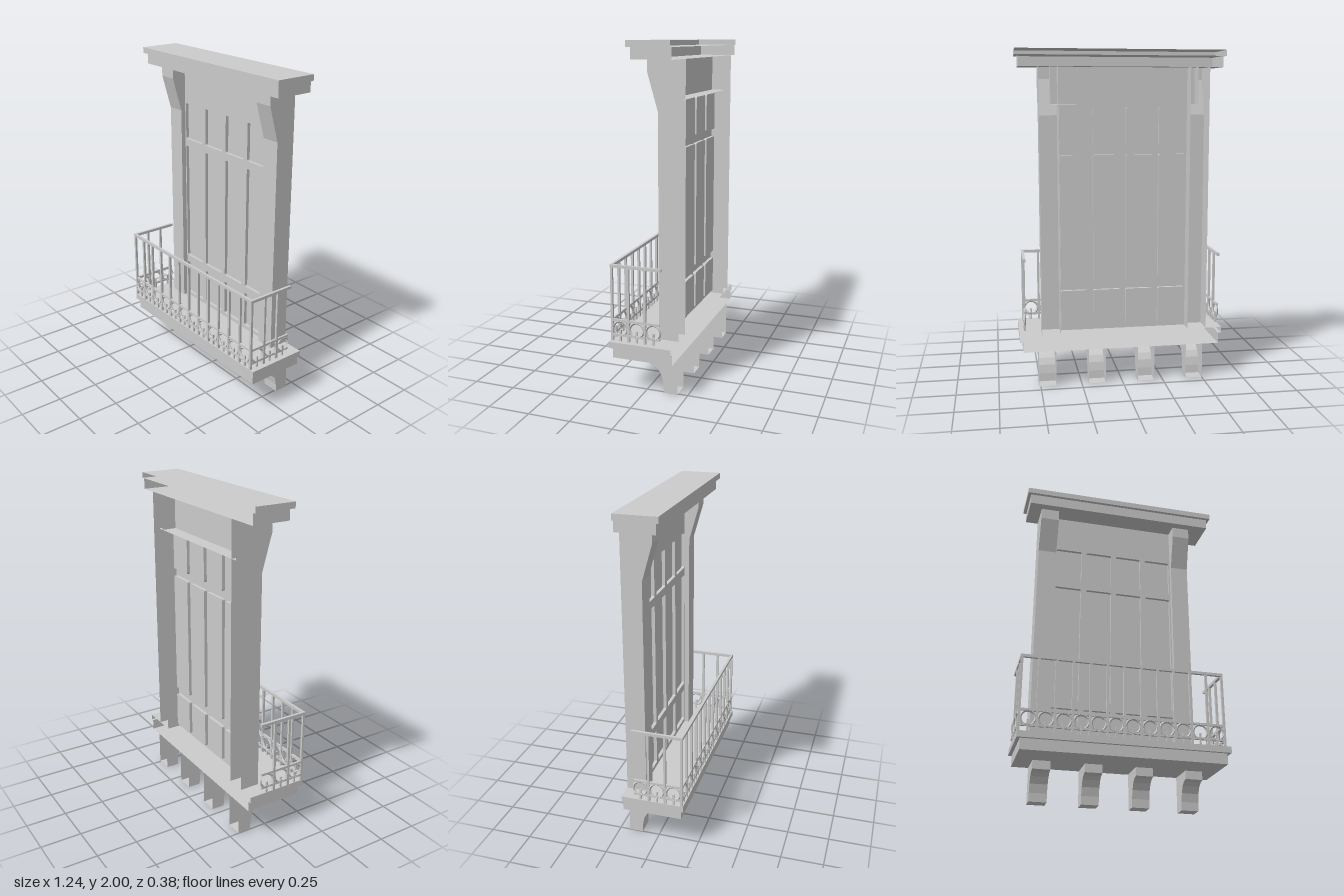
import * as THREE from 'three';

const BACK = -0.19;
const mat = new THREE.MeshStandardMaterial({ color: 0xcccccc, side: THREE.DoubleSide, flatShading: true });

export function createModel() {
  const model = new THREE.Group();

  function add(name, geo, parent = model) {
    const mesh = new THREE.Mesh(geo, mat);
    mesh.name = name;
    parent.add(mesh);
    return mesh;
  }

  // Removes every triangle lying in the plane axis = value, leaving an open shell
  function openAt(geo, axis, value) {
    const g = geo.index ? geo.toNonIndexed() : geo;
    const p = g.attributes.position, kept = [];
    const i0 = 'xyz'.indexOf(axis);
    for (let t = 0; t < p.count; t += 3) {
      const flat = [0, 1, 2].every(k => Math.abs(p.getComponent(t + k, i0) - value) < 1e-4);
      if (!flat) for (let k = 0; k < 3; k++) kept.push(p.getX(t + k), p.getY(t + k), p.getZ(t + k));
    }
    const out = new THREE.BufferGeometry();
    out.setAttribute('position', new THREE.Float32BufferAttribute(kept, 3));
    out.computeVertexNormals();
    return out;
  }

  function box(x0, x1, y0, y1, z0, z1) {
    return new THREE.BoxGeometry(x1 - x0, y1 - y0, z1 - z0)
      .translate((x0 + x1) / 2, (y0 + y1) / 2, (z0 + z1) / 2);
  }
  const shellBox = (x0, x1, y0, y1, front) => openAt(box(x0, x1, y0, y1, BACK, front), 'z', BACK);

  // Side profile of [z, y] points swept from x0 to x1, open towards the wall
  function sweep(points, x0, x1) {
    const shape = new THREE.Shape(points.map(([z, y]) => new THREE.Vector2(z, y)));
    const geo = new THREE.ExtrudeGeometry(shape, { depth: x1 - x0, bevelEnabled: false });
    return openAt(geo.rotateY(-Math.PI / 2).translate(x1, 0, 0), 'z', BACK);
  }

  function roundedRect(target, x0, x1, y0, y1, r) {
    target.moveTo(x0 + r, y0).lineTo(x1 - r, y0).quadraticCurveTo(x1, y0, x1, y0 + r);
    target.lineTo(x1, y1 - r).quadraticCurveTo(x1, y1, x1 - r, y1);
    target.lineTo(x0 + r, y1).quadraticCurveTo(x0, y1, x0, y1 - r);
    target.lineTo(x0, y0 + r).quadraticCurveTo(x0, y0, x0 + r, y0);
    return target;
  }

  // Cornice
  add('corniceTop', shellBox(-0.62, 0.62, 1.965, 2, 0.06));
  add('corniceLower', openAt(shellBox(-0.6, 0.6, 1.9, 1.965, 0.04), 'y', 1.965));

  // Pillars flaring forward under the cornice
  const pillar = [[BACK, 0.315], [-0.07, 0.315], [-0.07, 1.62], [-0.01, 1.83], [-0.01, 1.9], [BACK, 1.9]];
  add('rightPillar', sweep(pillar, -0.52, -0.405));
  add('leftPillar', sweep(pillar, 0.375, 0.487));

  // Lintel and door with recessed panels
  const doorZ = -0.1, recess = 0.02;
  add('lintel', shellBox(-0.45, 0.42, 1.685, 1.9, doorZ));
  const door = new THREE.Group();
  door.name = 'door';
  model.add(door);
  const frame = new THREE.Shape();
  frame.moveTo(-0.405, 0.315).lineTo(0.375, 0.315).lineTo(0.375, 1.685).lineTo(-0.405, 1.685);
  const columns = [[-0.397, -0.23], [-0.197, -0.031], [0.002, 0.168], [0.201, 0.366]];
  const rows = [[0.34, 0.567], [0.615, 1.387], [1.435, 1.665]];
  for (const [x0, x1] of columns) for (const [y0, y1] of rows) {
    frame.holes.push(roundedRect(new THREE.Path(), x0, x1, y0, y1, 0.01));
    const tray = new THREE.ExtrudeGeometry(roundedRect(new THREE.Shape(), x0, x1, y0, y1, 0.01),
      { depth: recess, bevelEnabled: false, curveSegments: 4 });
    add('doorPanel', openAt(tray.translate(0, 0, doorZ - recess), 'z', doorZ), door);
  }
  add('doorFrame', new THREE.ShapeGeometry(frame, 4).translate(0, 0, doorZ), door);

  // Balcony floor
  add('floorSlab', openAt(shellBox(-0.62, 0.62, 0.28, 0.316, 0.187), 'y', 0.28));
  add('floorRim', box(-0.62, 0.62, 0.279, 0.281, 0.165, 0.187));
  for (const s of [-1, 1]) {
    add('floorSideRim', box(s * 0.61 - 0.01, s * 0.61 + 0.01, 0.279, 0.281, BACK, 0.187));
  }
  add('floorBase', openAt(shellBox(-0.6, 0.6, 0.215, 0.28, 0.17), 'y', 0.28));

  // Curved support brackets
  const bracket = [[BACK, 0], [-0.107, 0], [-0.105, 0.05], [-0.095, 0.1], [-0.075, 0.138],
    [-0.05, 0.157], [-0.017, 0.165], [-0.017, 0.215], [BACK, 0.215]];
  for (const x of [-0.448, -0.147, 0.155, 0.457]) {
    add('supportBracket', openAt(sweep(bracket, x - 0.052, x + 0.052), 'y', 0.215));
  }

  // Railing: each run is laid along +x and then turned into place
  function railingRun(name, length, bays, pitch, firstPost) {
    const run = new THREE.Group();
    run.name = name;
    add('handrail', box(-0.008, length + 0.008, 0.752, 0.769, -0.008, 0.008), run);
    for (const y of [0.44, 0.353]) {
      add('lowerRail', box(0, length, y - 0.007, y + 0.007, -0.006, 0.006), run);
    }
    for (let i = firstPost; i <= bays; i++) {
      if (i * pitch > length + 0.001) continue;
      add('baluster', box(i * pitch - 0.007, i * pitch + 0.007, 0.315, 0.755, -0.007, 0.007), run);
    }
    for (let i = 0; i < bays; i++) {
      const x = (i + 0.5) * pitch;
      add('ring', new THREE.TorusGeometry(0.042, 0.007, 4, 18).translate(x, 0.393, 0), run);
      add('ringPost', box(x - 0.005, x + 0.005, 0.315, 0.385, -0.005, 0.005), run);
    }
    model.add(run);
    return run;
  }
  const xr = -0.613, xl = 0.585, zf = 0.177;
  railingRun('frontRailing', xl - xr, 12, (xl - xr) / 12, 0).position.set(xr, 0, zf);
  for (const [name, x] of [['rightRailing', xr], ['leftRailing', xl]]) {
    const run = railingRun(name, 0.29, 3, 0.1, 1);
    run.rotation.y = Math.PI / 2;
    run.position.set(x, 0, zf);
  }

  return model;
}
